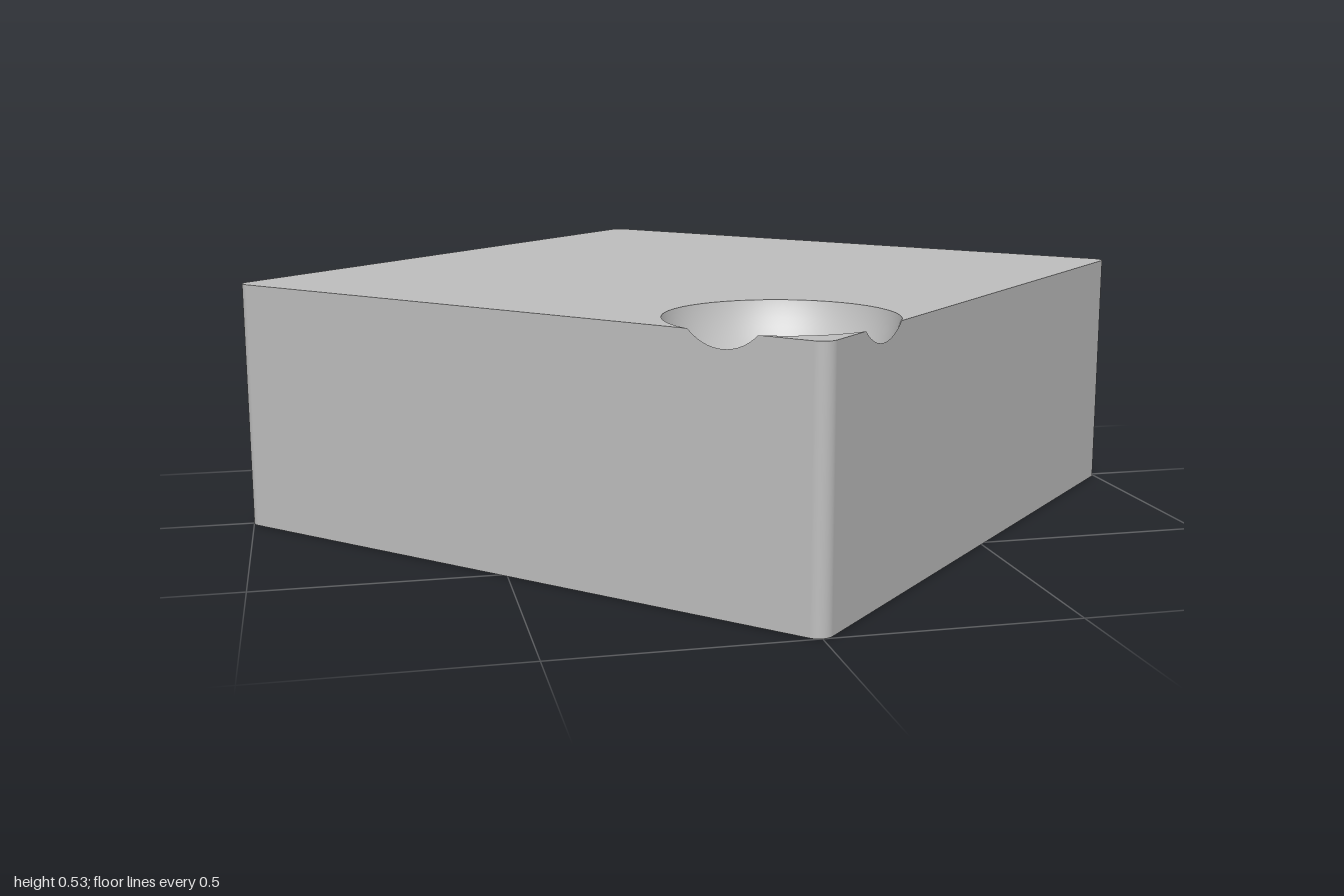
import * as THREE from 'three';

const A = 0.716, FILLET = 0.03, H = 0.532;          // half side, corner radius, height
const D = 0.5035, E = A - D;                        // dent offset, dent centre to wall
const RIM = 0.2246, C = 0.07, R = Math.hypot(RIM, C); // dent rim, sphere centre above top, sphere radius
const NOTCH = Math.sqrt(RIM * RIM - E * E);         // half width of the dent's break through a wall
const HOLE_DEPTH = 0.175;
const W = A - FILLET, PI = Math.PI;

export function createModel() {
  const grey = new THREE.MeshStandardMaterial({ color: 0xc0c0c0, side: THREE.DoubleSide });
  grey.name = 'grey';
  const block = new THREE.Group();
  block.name = 'block';
  block.rotation.y = -PI / 4;
  const add = (name, geometry) => {
    const mesh = new THREE.Mesh(geometry, grey);
    mesh.name = name;
    block.add(mesh);
    return mesh;
  };

  // Top face, cut by the dent into a main area and a small corner tip
  const top = new THREE.Shape();
  top.moveTo(A, -D + NOTCH);
  top.absarc(W, W, FILLET, 0, PI / 2);
  top.absarc(-W, W, FILLET, PI / 2, PI);
  top.absarc(-W, -W, FILLET, PI, 1.5 * PI);
  top.absarc(D, -D, RIM, Math.atan2(-E, -NOTCH), Math.atan2(NOTCH, E), true);
  const tip = new THREE.Shape();
  tip.absarc(D, -D, RIM, Math.atan2(-NOTCH, E), Math.atan2(-E, NOTCH), true);
  tip.absarc(W, -W, FILLET, -PI / 2, 0);
  add('topFace', new THREE.ShapeGeometry([top, tip], 48).rotateX(-PI / 2).translate(0, H, 0));

  // Underside with two round blind holes
  const base = new THREE.Shape();
  [[W, W], [-W, W], [-W, -W], [W, -W]].forEach(([x, y], k) =>
    base.absarc(x, y, FILLET, k * PI / 2, (k + 1) * PI / 2));
  const holes = [['centreHole', 0, 0.276], ['cornerHole', D, 0.141]];
  for (const [name, p, r] of holes) {
    base.holes.push(new THREE.Path().absarc(p, p, r, 0, 2 * PI, true));
    const wall = [new THREE.Vector2(r, HOLE_DEPTH), new THREE.Vector2(r, 0)];
    add(name + 'Wall', new THREE.LatheGeometry(wall, 64)).position.set(p, 0, p);
    add(name + 'Ceiling', new THREE.CircleGeometry(r, 64).rotateX(PI / 2)).position.set(p, HOLE_DEPTH, p);
  }
  add('underside', new THREE.ShapeGeometry(base, 32).rotateX(PI / 2));

  // Four walls, two of them notched by the dent, and the rounded corners
  const notchAt = [D, -D, null, null];
  for (let k = 0; k < 4; k++) {
    const s = new THREE.Shape();
    s.moveTo(-W, 0);
    s.lineTo(W, 0);
    s.lineTo(W, H);
    if (notchAt[k] !== null) {
      s.absarc(notchAt[k], H + C, Math.hypot(NOTCH, C), Math.atan2(-C, NOTCH), Math.atan2(-C, -NOTCH), true);
    }
    s.lineTo(-W, H);
    add('wall', new THREE.ShapeGeometry(s, 24).translate(0, 0, A).rotateY(k * PI / 2));
    const corner = new THREE.CylinderGeometry(FILLET, FILLET, H, 8, 1, true, 0, PI / 2);
    add('roundedCorner', corner.translate(W, H / 2, W).rotateY(k * PI / 2));
  }

  add('dent', dentGeometry());
  const model = new THREE.Group();
  model.name = 'model';
  model.add(block);
  return model;
}

// Spherical bowl in polar rings, trimmed where it meets the two walls
function dentGeometry() {
  const rings = 16, segs = 128, pos = [], nor = [], idx = [];
  for (let i = 0; i <= rings; i++) {
    for (let j = 0; j <= segs; j++) {
      const a = j / segs * 2 * PI, cx = Math.cos(a), cz = Math.sin(a);
      const edge = Math.min(RIM, E / Math.max(cx, cz, 0.001));
      const polar = Math.asin(edge / R) * i / rings;
      const n = [-Math.sin(polar) * cx, Math.cos(polar), -Math.sin(polar) * cz];
      nor.push(...n);
      pos.push(D - R * n[0], H + C - R * n[1], D - R * n[2]);
      if (i < rings && j < segs) {
        const p = i * (segs + 1) + j, q = p + segs + 1;
        idx.push(p, p + 1, q, p + 1, q + 1, q);
      }
    }
  }
  const g = new THREE.BufferGeometry();
  g.setAttribute('position', new THREE.Float32BufferAttribute(pos, 3));
  g.setAttribute('normal', new THREE.Float32BufferAttribute(nor, 3));
  g.setIndex(idx);
  return g;
}
